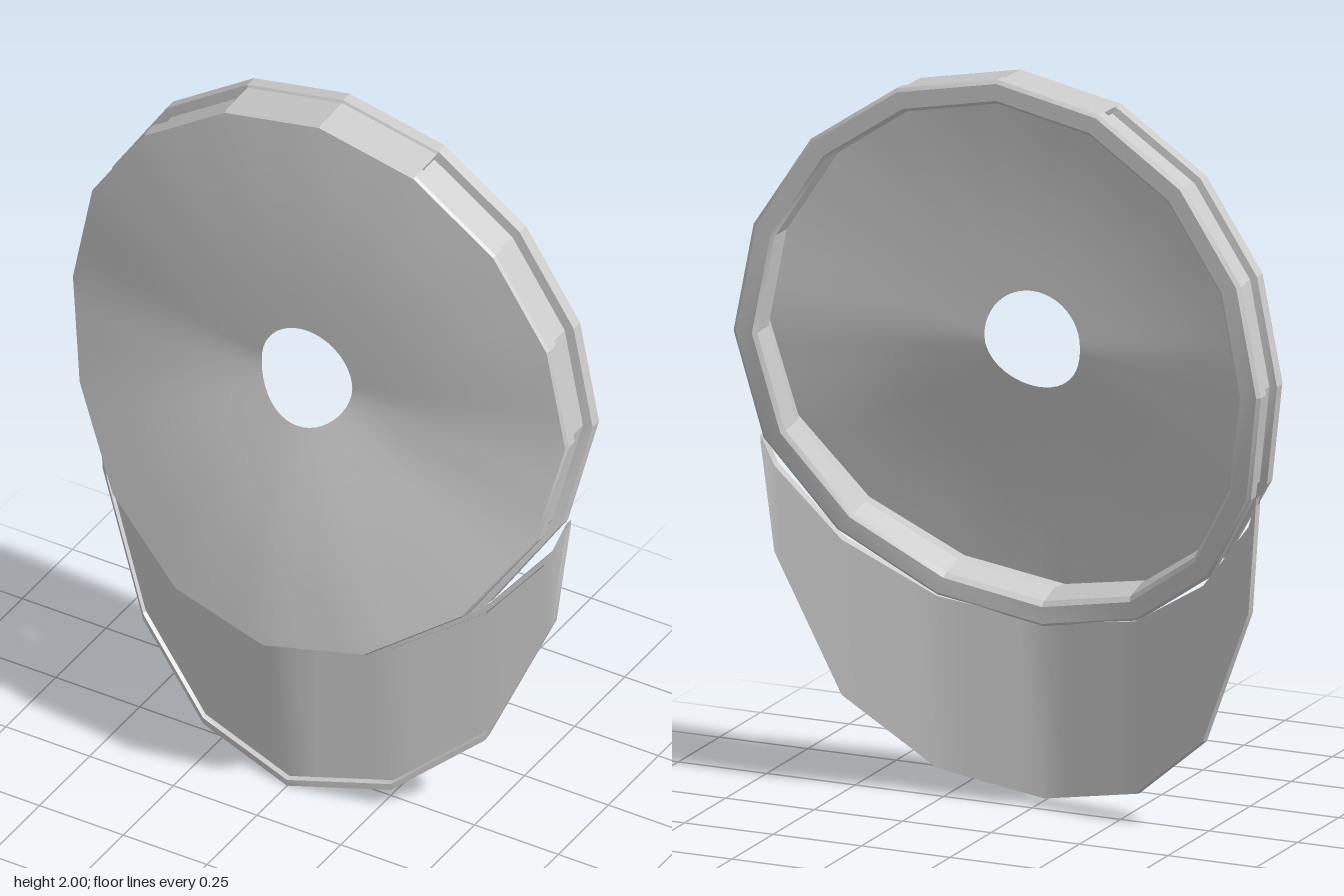
import * as THREE from 'three';
import { toCreasedNormals } from 'three/addons/utils/BufferGeometryUtils.js';

const CY = 1.24; // height of the disc centre
const lerp = THREE.MathUtils.lerp;

// Skin a list of equal-length point rows.
function loft(rows, closeRows, closeCols) {
  const n = rows.length, m = rows[0].length, index = [];
  for (let i = 0; i < (closeRows ? n : n - 1); i++) {
    for (let j = 0; j < (closeCols ? m : m - 1); j++) {
      const i2 = (i + 1) % n, j2 = (j + 1) % m;
      const a = i * m + j, b = i2 * m + j, c = i2 * m + j2, d = i * m + j2;
      index.push(a, d, c, a, c, b);
    }
  }
  const g = new THREE.BufferGeometry();
  g.setAttribute('position', new THREE.Float32BufferAttribute(rows.flat(2), 3));
  g.setIndex(index);
  g.computeVertexNormals();
  return g;
}

// Forward sweep of the lower half, 0 above the centre and 1 at the bottom.
const sweep = (a) => Math.pow(Math.max(0, -Math.sin(a)), 1.6);

// Point on the rim: u runs from its front edge (0) to its back edge (1).
function rimPoint(a, u, offset = 0) {
  const c = Math.cos(a), s = Math.sin(a);
  const ry = s > 0 ? lerp(0.745, 0.75, u) : lerp(0.72, 0.765, u);
  return [c * (0.735 + offset), CY + s * (ry + offset), -0.06 + 0.28 * sweep(a) - 0.16 * u];
}

// Domed disc with a round hole; its outer edge is a 16-sided polygon.
function dishGeometry() {
  const rows = [], sub = 3, steps = 12;
  for (let i = 0; i < 16 * sub; i++) {
    const k = Math.floor(i / sub), f = (i % sub) / sub;
    const a = (i / (16 * sub)) * Math.PI * 2;
    const p = rimPoint((k * Math.PI) / 8, 0), q = rimPoint(((k + 1) * Math.PI) / 8, 0);
    const edge = p.map((v, n) => lerp(v, q[n], f));
    const hole = [0.135 * Math.cos(a), CY + 0.005 + 0.135 * Math.sin(a), 0.05 * sweep(a)];
    const row = [];
    for (let j = 0; j <= steps; j++) {
      const t = j / steps, pt = hole.map((v, n) => lerp(v, edge[n], t));
      pt[2] += 0.015 * Math.sin(Math.PI * t);
      row.push(pt);
    }
    rows.push(row);
  }
  return loft(rows, true, false);
}

// Faceted band with an outer groove that is filled across the top.
function rimGeometry() {
  const section = (a, filled) => {
    const groove = filled ? 0.004 : -0.016;
    return [[0, 0], [0.004, 0.06], [0.004, 0.26], [groove, 0.28], [groove, 0.72], [0.01, 0.75],
      [0.01, 0.95], [0, 1], [-0.045, 1], [-0.055, 0.93], [-0.055, 0.5], [-0.03, 0.12]]
      .map(([r, u]) => rimPoint(a, u, r));
  };
  const rows = [];
  for (let i = 0; i < 16; i++) {
    const a = (i * Math.PI) / 8;
    if (i === 3) rows.push(section(a, false), section(a, true));
    else if (i === 5) rows.push(section(a, true), section(a, false));
    else rows.push(section(a, i === 4));
  }
  return toCreasedNormals(loft(rows, true, true), 0.35);
}

// Curved plate below the disc with a raised border around a sunken panel.
function bibGeometry() {
  const X = [0, 0.28, 0.51, 0.67, 0.7];
  const top = [0.475, 0.525, 0.67, 0.865, 0.95];
  const bottom = [0, 0.06, 0.25, 0.63, 0.93];
  const face = [0.1, 0.05, -0.035, -0.1, -0.12];
  const at = (list, x) => {
    let k = 0;
    while (k < 3 && x > X[k + 1]) k++;
    return lerp(list[k], list[k + 1], (x - X[k]) / (X[k + 1] - X[k]));
  };
  const half = [0, 0.07, 0.14, 0.21, 0.28, 0.34, 0.4, 0.46, 0.51, 0.56, 0.61, 0.65, 0.656, 0.67, 0.685, 0.7];
  const columns = [...half.slice(1).reverse().map((x) => -x), ...half];
  const rows = columns.map((x) => {
    const ax = Math.abs(x), t = at(top, ax), b = at(bottom, ax), z = at(face, ax);
    const inset = Math.min(0.018, (t - b) * 0.2);
    const sunk = z - (ax < 0.653 ? 0.012 : 0);
    return [[t, z], [t - inset, z], [t - inset * 1.3, sunk], [b + inset * 1.3, sunk],
      [b + inset, z], [b, z], [b + inset * 0.3, z - 0.026], [t, z - 0.026]]
      .map(([y, pz]) => [x, y, pz]);
  });
  return toCreasedNormals(loft(rows, false, true), 0.5);
}

export function createModel() {
  const group = new THREE.Group();
  group.name = 'discWithBib';
  const material = new THREE.MeshStandardMaterial({ color: 0xcccccc, side: THREE.DoubleSide });
  const parts = { dish: dishGeometry(), rim: rimGeometry(), bib: bibGeometry() };
  for (const [name, geometry] of Object.entries(parts)) {
    const mesh = new THREE.Mesh(geometry, material);
    mesh.name = name;
    group.add(mesh);
  }
  return group;
}
